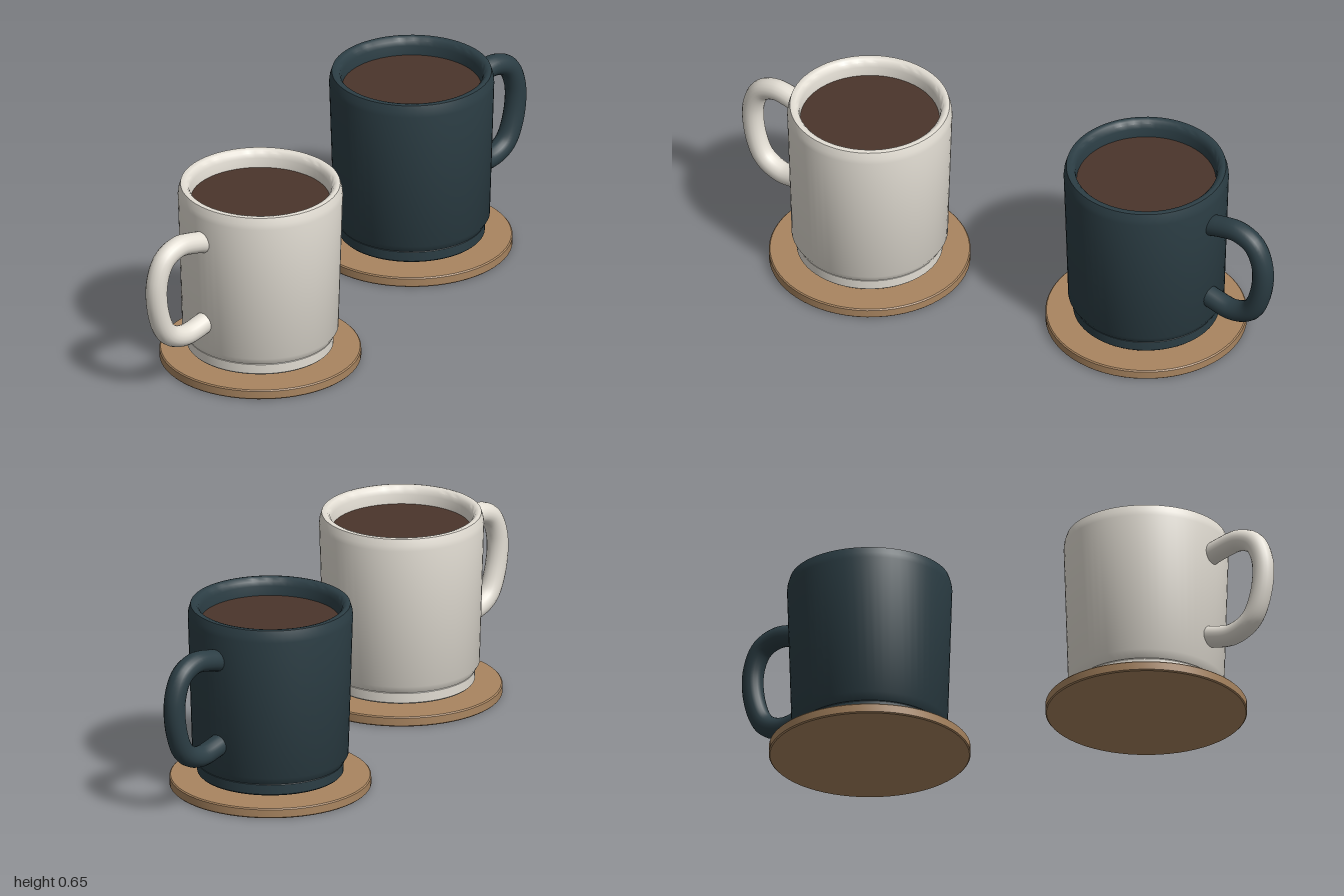
import * as THREE from 'three';
import { toCreasedNormals } from 'three/addons/utils/BufferGeometryUtils.js';

const SEGMENTS = 64;

// Revolved solid with sharp edges kept where the profile bends strongly
function lathe(name, points, material) {
  const profile = points.map(([r, y]) => new THREE.Vector2(r, y));
  const geometry = toCreasedNormals(new THREE.LatheGeometry(profile, SEGMENTS), 0.6);
  const mesh = new THREE.Mesh(geometry, material);
  mesh.name = name;
  return mesh;
}

function paint(color) {
  return new THREE.MeshStandardMaterial({ color });
}

// Mug on its coaster, handle towards +x
function createSetting(name, mugMaterial, coasterMaterial, coffeeMaterial) {
  const setting = new THREE.Group();
  setting.name = name;

  // Flat round coaster with eased edges
  setting.add(lathe('coaster', [
    [0, 0], [0.338, 0], [0.342, 0.004], [0.342, 0.031], [0.338, 0.035], [0, 0.035],
  ], coasterMaterial));

  // Narrow foot ring under the mug
  setting.add(lathe('foot', [
    [0, 0.047], [0.243, 0.047], [0.248, 0.052], [0.249, 0.086], [0.245, 0.091], [0, 0.091],
  ], mugMaterial));

  // Tapered wall, rounded rim and hollow inside
  setting.add(lathe('body', [
    [0, 0.089], [0.25, 0.089], [0.265, 0.115], [0.28, 0.61], [0.278, 0.628],
    [0.271, 0.651], [0.262, 0.653], [0.251, 0.65], [0.243, 0.641], [0.239, 0.625],
    [0.236, 0.59], [0.23, 0.13], [0, 0.12],
  ], mugMaterial));

  // Coffee surface
  const coffee = new THREE.Mesh(new THREE.CylinderGeometry(0.236, 0.236, 0.01, SEGMENTS), coffeeMaterial);
  coffee.name = 'coffee';
  coffee.position.y = 0.587;
  setting.add(coffee);

  // Bent handle, its ends buried in the wall
  const path = new THREE.CatmullRomCurve3([
    [0.25, 0.513], [0.31, 0.53], [0.385, 0.54], [0.449, 0.512], [0.483, 0.435],
    [0.476, 0.32], [0.435, 0.231], [0.36, 0.197], [0.25, 0.215],
  ].map(([x, y]) => new THREE.Vector3(x, y, 0)));
  const handle = new THREE.Mesh(new THREE.TubeGeometry(path, 56, 0.037, 18), mugMaterial);
  handle.name = 'handle';
  setting.add(handle);

  return setting;
}

export function createModel() {
  const model = new THREE.Group();
  model.name = 'mugPair';
  const wood = paint(0xa98560);
  const coffee = paint(0x4a352b);

  const dark = createSetting('darkMugSetting', paint(0x2c3e45), wood, coffee);
  dark.position.set(0.48, 0, -0.133);
  model.add(dark);

  // The pale mug is turned so that its handle points the other way
  const pale = createSetting('paleMugSetting', paint(0xe4dfd5), wood, coffee);
  pale.position.set(-0.48, 0, 0.133);
  pale.rotation.y = Math.PI;
  model.add(pale);

  return model;
}
